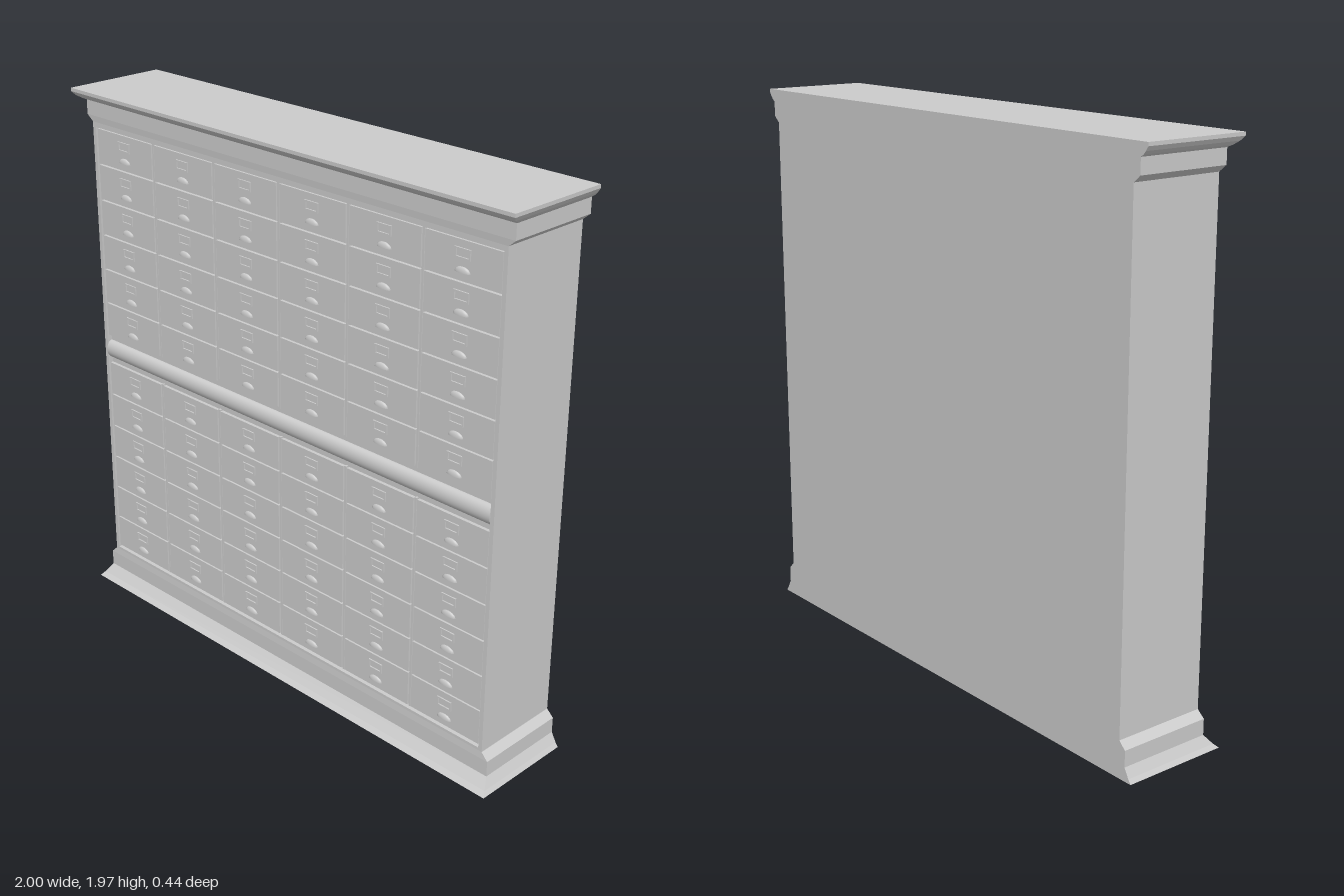
import * as THREE from 'three';

const BACK = -0.195, FACE = 0.148, CORE = 0.128, DRAWER = 0.14;
const HALF = 0.94;          // half width of the carcass
const OPEN = 0.925;         // half width of the drawer opening
const material = new THREE.MeshStandardMaterial({ color: 0xcccccc });

function add(parent, name, geometry, x = 0, y = 0, z = 0) {
  const mesh = new THREE.Mesh(geometry, material);
  mesh.name = name;
  mesh.position.set(x, y, z);
  parent.add(mesh);
  return mesh;
}

// Stacked rectangles [y, halfWidth, frontZ], all flush at the back
function moulding(levels) {
  const rings = levels.map(([y, w, f]) => [[-w, y, f], [w, y, f], [w, y, BACK], [-w, y, BACK]]);
  const pos = [];
  const quad = (a, b, c, d) => pos.push(...a, ...b, ...c, ...a, ...c, ...d);
  for (let i = 0; i < rings.length - 1; i++) {
    for (let k = 0; k < 4; k++) {
      const n = (k + 1) % 4;
      quad(rings[i][k], rings[i][n], rings[i + 1][n], rings[i + 1][k]);
    }
  }
  const bottom = rings[0], top = rings[rings.length - 1];
  quad(bottom[3], bottom[2], bottom[1], bottom[0]);
  quad(...top);
  const g = new THREE.BufferGeometry();
  g.setAttribute('position', new THREE.Float32BufferAttribute(pos, 3));
  g.computeVertexNormals();
  return g;
}

function rectPoints(x0, y0, x1, y1) {
  return [[x0, y0], [x1, y0], [x1, y1], [x0, y1]].map(p => new THREE.Vector2(...p));
}

// Rectangular frame with a rectangular opening
function frame(outer, inner, depth) {
  const shape = new THREE.Shape(rectPoints(...outer));
  shape.holes.push(new THREE.Path(rectPoints(...inner).reverse()));
  return new THREE.ExtrudeGeometry(shape, { depth, bevelEnabled: false });
}

export function createModel() {
  const root = new THREE.Group();
  root.name = 'drawerCabinet';
  const cabinet = new THREE.Group();
  cabinet.name = 'cabinet';
  cabinet.rotation.y = -0.0275;
  root.add(cabinet);

  // Flared plinth and cornice
  add(cabinet, 'plinth', moulding([
    [0, 0.9945, 0.195], [0.015, 0.984, 0.178], [0.048, 0.966, 0.15],
    [0.105, 0.966, 0.15], [0.13, HALF, FACE],
  ]));
  add(cabinet, 'cornice', moulding([
    [1.856, HALF, FACE], [1.878, 0.966, 0.15], [1.93, 0.966, 0.15],
    [1.937, 0.976, 0.165], [1.948, 0.986, 0.182], [1.962, 0.9945, 0.195], [1.974, 0.9945, 0.195],
  ]));

  // Carcass with a face frame around the drawers
  add(cabinet, 'carcass', new THREE.BoxGeometry(HALF * 2, 1.726, CORE - BACK), 0, 0.993, (CORE + BACK) / 2);
  add(cabinet, 'faceFrame',
    frame([-HALF, 0.13, HALF, 1.856], [-OPEN, 0.14, OPEN, 1.838], FACE - CORE), 0, 0, CORE);

  // Rounded rail between the upper and lower drawers
  const rail = new THREE.CylinderGeometry(1, 1, OPEN * 2, 16, 1, false, 0, Math.PI);
  rail.rotateY(-Math.PI / 2).rotateZ(Math.PI / 2);
  rail.scale(1, 0.034, 0.024);
  add(cabinet, 'middleRail', rail, 0, 0.988, CORE);

  // Shared drawer parts
  const pitchX = 0.31, pitchY = 0.132;
  const front = new THREE.BoxGeometry(0.294, 0.126, DRAWER - CORE);
  const label = frame([-0.03, -0.017, 0.03, 0.017], [-0.024, -0.011, 0.024, 0.012], 0.005);
  const pull = new THREE.SphereGeometry(1, 12, 5, 0, Math.PI * 2, 0, Math.PI / 2);
  pull.scale(0.03, 0.018, 0.009);
  const stile = new THREE.BoxGeometry(0.008, pitchY * 6, 0.01);

  // Two banks of six by six drawers
  for (const [bank, top] of [['upper', 1.834], ['lower', 0.935]]) {
    const group = new THREE.Group();
    group.name = bank + 'Drawers';
    cabinet.add(group);
    for (let c = 0; c < 6; c++) {
      const x = (c - 2.5) * pitchX - 0.005;
      if (c < 5) add(group, 'stile', stile, x + pitchX / 2, top - pitchY * 3, CORE + 0.005);
      for (let r = 0; r < 6; r++) {
        const drawer = new THREE.Group();
        drawer.name = 'drawer';
        drawer.position.set(x, top - (r + 0.5) * pitchY, DRAWER);
        group.add(drawer);
        add(drawer, 'drawerFront', front, 0, 0, (CORE - DRAWER) / 2);
        add(drawer, 'labelHolder', label, 0, 0.022, 0);
        add(drawer, 'cupPull', pull, 0, -0.036, 0);
      }
    }
  }
  // Undersides of the pulls are open
  material.side = THREE.DoubleSide;
  return root;
}
